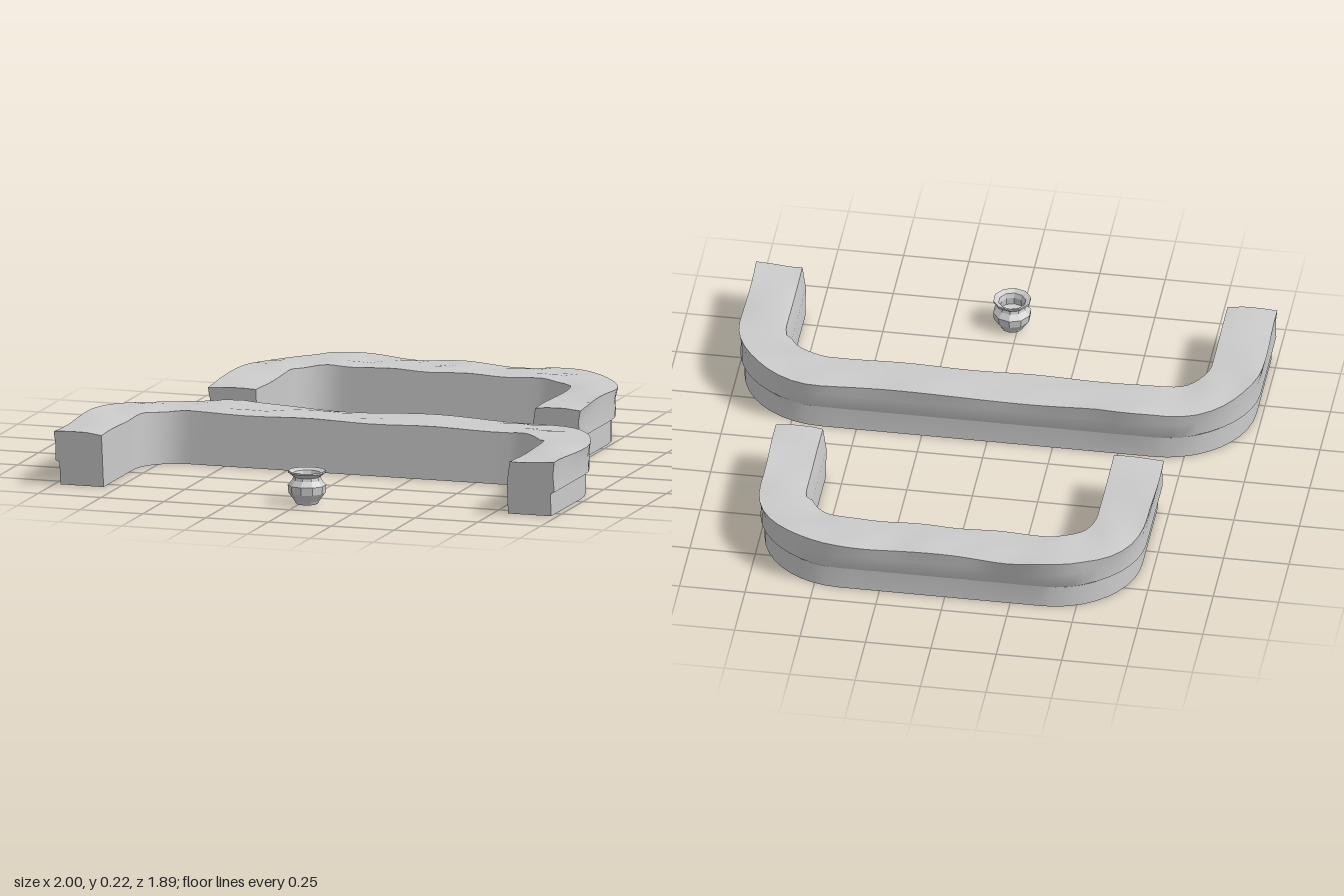
import * as THREE from 'three';
import { toCreasedNormals } from 'three/addons/utils/BufferGeometryUtils.js';

const material = new THREE.MeshStandardMaterial({ color: 0xcccccc });

// U-shaped run of stations along the inner foot: position, outward normal, isEnd
function stations({ x0, x1, zBack, zEnd, r }) {
  const list = [];
  const add = (x, z, nx, nz) => list.push({ x, z, nx, nz });
  const zc = zBack + r;
  const leg = 6, corner = 10, back = 18;
  for (let i = 0; i < leg; i++) add(x0, THREE.MathUtils.lerp(zEnd, zc, i / leg), -1, 0);
  for (let i = 0; i <= corner; i++) {
    const a = (i / corner) * Math.PI / 2, c = Math.cos(a), s = Math.sin(a);
    add(x0 + r - r * c, zc - r * s, -c, -s);
  }
  for (let i = 1; i < back; i++) add(THREE.MathUtils.lerp(x0 + r, x1 - r, i / back), zBack, 0, -1);
  for (let i = 0; i <= corner; i++) {
    const a = (i / corner) * Math.PI / 2, c = Math.cos(a), s = Math.sin(a);
    add(x1 - r + r * s, zc - r * c, s, -c);
  }
  for (let i = 1; i <= leg; i++) add(x1, THREE.MathUtils.lerp(zc, zEnd, i / leg), 1, 0);
  return list;
}

// Solid wall swept along the U, with a flared outer skin and a gently uneven top
function wall(name, spec) {
  const path = stations(spec);
  const last = path.length - 1;
  const pos = [], index = [];
  let n = 0;
  path.forEach((p, j) => {
    const wave = (f, k) => Math.sin(j * f + k + spec.seed);
    const rightLeg = p.nx > 0.95 ? 0.015 : 0;
    const bump = p.nz < -0.9 ? 0.018 * Math.exp(-(((p.x - spec.bumpX) / spec.bumpWidth) ** 2)) : 0;
    const step = 0.004 + 0.012 * Math.abs(p.nx) ** 4;
    // (distance outward, height) from inner foot over the top to outer foot
    const section = [
      [0, 0],
      [0, 0.12],
      [rightLeg, 0.203 + 0.003 * wave(0.9, 0)],
      [0.06, 0.208 + 0.004 * wave(0.7, 1)],
      [0.13, 0.208 + 0.004 * wave(1.1, 2)],
      [0.192 + bump + 0.003 * wave(0.8, 4), 0.207 + 0.006 * wave(0.6, 3) + bump * 0.3],
      [0.185 + bump * 0.5, 0.16],
      [0.172 + step, 0.095],
      [0.172, 0.09],
      [0.172, 0],
    ];
    n = section.length;
    for (const [d, y] of section) {
      const lean = j === 0 || j === last ? 0.025 * (y / 0.2 - 1) : 0;
      pos.push(p.x + p.nx * d, y, p.z + p.nz * d + lean);
    }
  });
  for (let j = 0; j < last; j++) {
    for (let k = 0; k < n; k++) {
      const a = j * n + k, b = j * n + (k + 1) % n;
      index.push(a, a + n, b + n, a, b + n, b);
    }
  }
  // End caps
  for (let k = 1; k < n - 1; k++) {
    index.push(0, k, k + 1);
    index.push(last * n, last * n + k + 1, last * n + k);
  }
  const geo = new THREE.BufferGeometry();
  geo.setAttribute('position', new THREE.Float32BufferAttribute(pos, 3));
  geo.setIndex(index);
  const mesh = new THREE.Mesh(toCreasedNormals(geo, 0.6), material);
  mesh.name = name;
  return mesh;
}

// Small faceted pot with a flared rim and hollow mouth
function pot() {
  const profile = [
    [0, 0], [0.042, 0], [0.048, 0.012], [0.07, 0.042], [0.073, 0.072], [0.055, 0.092],
    [0.052, 0.104], [0.072, 0.12], [0.072, 0.127], [0.052, 0.118], [0.046, 0.1], [0.05, 0.07], [0, 0.06],
  ].map(([r, y]) => new THREE.Vector2(r, y));
  const mat = material.clone();
  mat.flatShading = true;
  const mesh = new THREE.Mesh(new THREE.LatheGeometry(profile, 10), mat);
  mesh.position.set(0.023, 0, 0.86);
  mesh.name = 'pot';
  return mesh;
}

export function createModel() {
  const group = new THREE.Group();
  group.name = 'courtyardWalls';
  group.add(
    wall('frontWall', { x0: -0.805, x1: 0.805, zBack: 0.28, zEnd: 0.83, r: 0.17, seed: 0, bumpX: -0.53, bumpWidth: 0.08 }),
    wall('backWall', { x0: -0.532, x1: 0.565, zBack: -0.742, zEnd: -0.19, r: 0.16, seed: 2, bumpX: -0.3, bumpWidth: 0.15 }),
    pot(),
  );
  return group;
}
